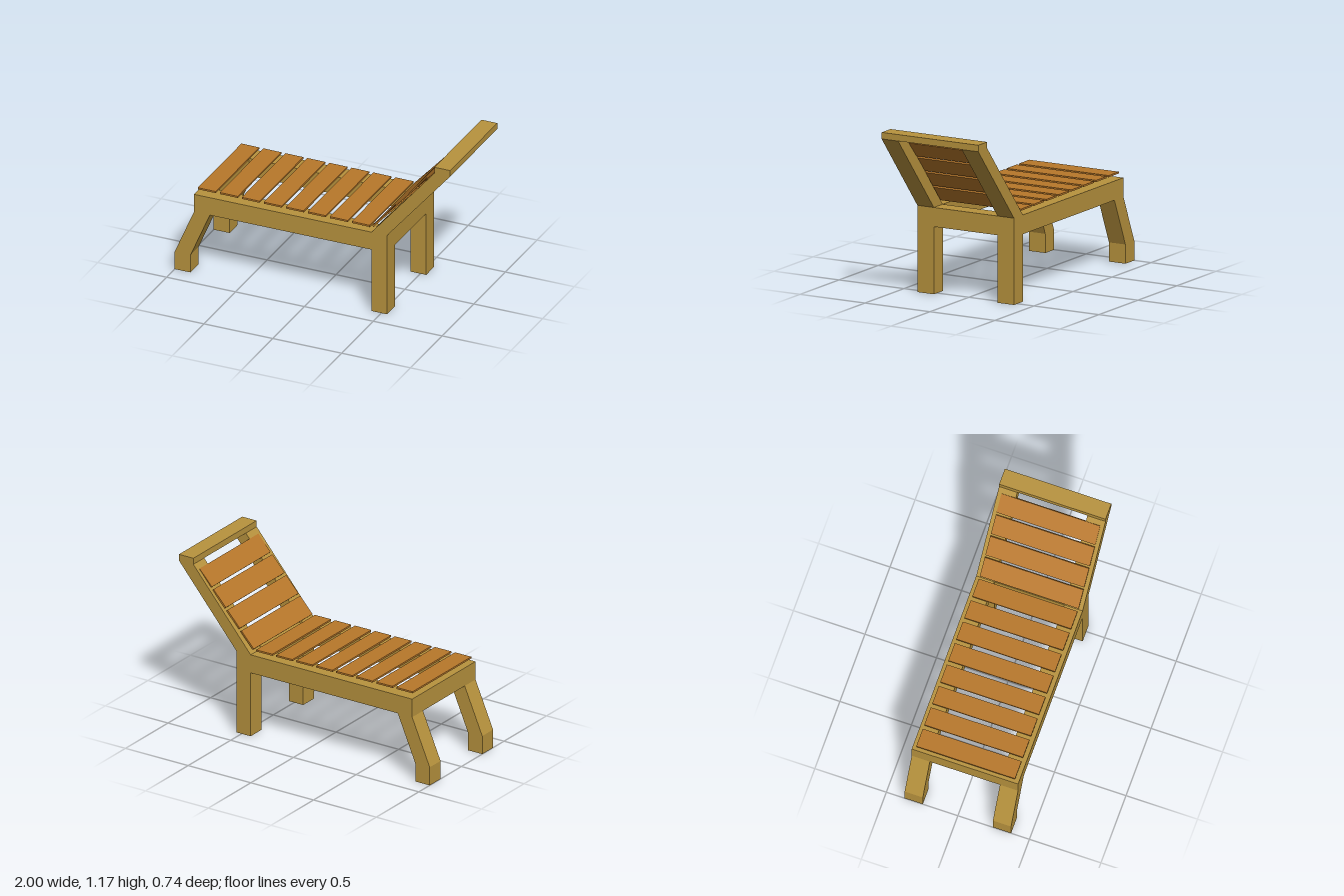
import * as THREE from 'three';

export function createModel() {
  const model = new THREE.Group();
  model.name = 'sunLounger';
  const frameWood = new THREE.MeshStandardMaterial({ color: 0xb8933e, flatShading: true });
  const slatWood = new THREE.MeshStandardMaterial({ color: 0xb8782a, flatShading: true });

  function box(name, material, size, position, tilt = 0) {
    const mesh = new THREE.Mesh(new THREE.BoxGeometry(...size), material);
    mesh.name = name;
    mesh.position.set(...position);
    mesh.rotation.z = tilt;
    model.add(mesh);
  }

  // Side frames: splayed foot leg, rail, straight leg and sloping back post in one profile
  const profile = [
    [-1, 0], [-0.885, 0], [-0.885, 0.13], [-0.745, 0.457], [0.428, 0.457], [0.428, 0],
    [0.542, 0], [0.542, 0.587], [1, 1.126], [0.885, 1.126], [0.428, 0.587],
    [-0.86, 0.587], [-0.86, 0.457], [-1, 0.13],
  ];
  const shape = new THREE.Shape(profile.map(([x, y]) => new THREE.Vector2(x, y)));
  const thickness = 0.127;
  const sideGeometry = new THREE.ExtrudeGeometry(shape, { depth: thickness, bevelEnabled: false });
  for (const [name, z] of [['frontSideFrame', 0.245], ['backSideFrame', -0.245 - thickness]]) {
    const side = new THREE.Mesh(sideGeometry, frameWood);
    side.name = name;
    side.position.z = z;
    model.add(side);
  }

  // Cross rails between the side frames, and the cap over the back posts
  box('footCrossRail', frameWood, [0.115, 0.13, 0.49], [-0.8025, 0.522, 0]);
  box('headCrossRail', frameWood, [0.114, 0.13, 0.49], [0.485, 0.522, 0]);
  box('headCap', frameWood, [0.115, 0.044, 0.744], [0.9425, 1.148, 0]);

  // Seat slats, on a very slight slope towards the back rest
  for (let i = 0; i < 8; i++) {
    box('seatSlat', slatWood, [0.13, 0.012, 0.69], [-0.78 + i * 0.1597, 0.621 - i * 0.001, 0], -0.006);
  }

  // Back rest slats
  for (let i = 0; i < 4; i++) {
    box('backSlat', slatWood, [0.146, 0.012, 0.69], [0.475 + i * 0.1113, 0.671 + i * 0.1217, 0], 0.83);
  }

  return model;
}
